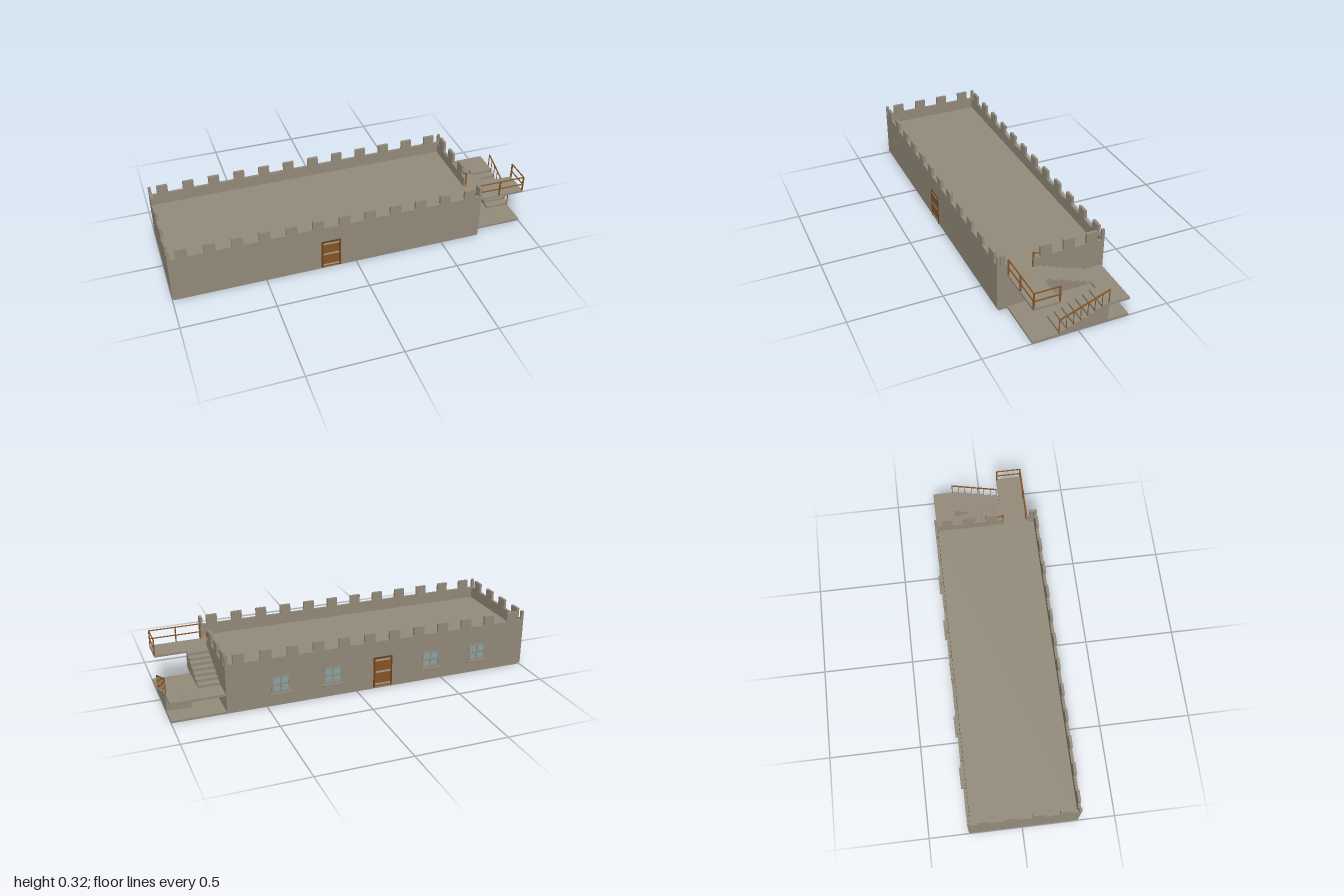
import * as THREE from 'three';

const mat = (name, color, extra = {}) => {
  const m = new THREE.MeshStandardMaterial({ color, ...extra });
  m.name = name;
  return m;
};

export function createModel() {
  const stone = mat('stone', 0x958c7c);
  const wood = mat('wood', 0x8a5626);
  const darkWood = mat('dark wood', 0x6f431c);
  const iron = mat('pale iron', 0xa3a294);
  const glass = mat('glass', 0x8ba5a3);

  const model = new THREE.Group();
  model.name = 'fortHouse';
  const group = (name) => {
    const g = new THREE.Group();
    g.name = name;
    model.add(g);
    return g;
  };
  // Box given by its extents on each axis
  const box = (parent, name, m, x0, x1, y0, y1, z0, z1) => {
    const mesh = new THREE.Mesh(new THREE.BoxGeometry(x1 - x0, y1 - y0, z1 - z0), m);
    mesh.position.set((x0 + x1) / 2, (y0 + y1) / 2, (z0 + z1) / 2);
    mesh.name = name;
    parent.add(mesh);
    return mesh;
  };
  // Square bar between two points
  const bar = (parent, name, a, b, t = 0.006) => {
    const p = new THREE.Vector3(...a), q = new THREE.Vector3(...b);
    const mesh = new THREE.Mesh(new THREE.BoxGeometry(t, t, p.distanceTo(q)), wood);
    mesh.position.copy(p).add(q).multiplyScalar(0.5);
    mesh.lookAt(q);
    mesh.name = name;
    parent.add(mesh);
  };

  const X0 = -1, X1 = 0.715, ZF = 0.298, ZB = -0.286, T = 0.015;
  const FLOOR = 0.012, ROOF = 0.212, WALL = 0.275, TOP = 0.325;

  // Base slabs under the house and the stair yard
  const base = group('base');
  box(base, 'houseBase', stone, -0.992, X1, 0, FLOOR, -0.278, 0.29);
  box(base, 'yardBase', stone, X1, 1, 0, FLOOR, -0.278, 0.243);

  // Walls and sunken flat roof
  const walls = group('walls');
  box(walls, 'frontWall', stone, X0, X1, FLOOR, WALL, ZF - T, ZF);
  box(walls, 'backWall', stone, X0, X1, FLOOR, WALL, ZB, ZB + T);
  box(walls, 'rightWall', stone, X0, X0 + T, FLOOR, WALL, ZB + T, ZF - T);
  box(walls, 'leftWall', stone, X1 - T, X1, FLOOR, ROOF, ZB + T, ZF - T);
  box(walls, 'leftParapet', stone, X1 - T, X1, ROOF, 0.265, ZB + T, 0.105);
  box(walls, 'leftParapetEnd', stone, X1 - T, X1, ROOF, 0.265, 0.245, ZF - T);
  box(walls, 'roof', stone, X0 + T, X1 - T, ROOF - 0.012, ROOF, ZB + T, ZF - T);

  // Battlements
  const merlons = group('battlements');
  for (const z of [ZF - T, ZB]) {
    for (let i = 0; i < 12; i++) {
      const x = -0.925 + i * 0.1425;
      box(merlons, 'merlon', stone, x - 0.03, x + 0.03, WALL, TOP, z, z + T);
    }
    box(merlons, 'cornerMerlon', stone, X0, X0 + T, WALL, TOP, z, z + T);
    box(merlons, 'cornerMerlon', stone, X1 - T, X1, WALL, TOP, z, z + T);
  }
  for (const z of [0.219, 0.077, -0.065, -0.206])
    box(merlons, 'rightMerlon', stone, X0, X0 + T, WALL, TOP, z - 0.031, z + 0.031);
  for (const z of [0.038, -0.089, -0.215])
    box(merlons, 'leftMerlon', stone, X1 - T, X1, 0.265, TOP, z - 0.031, z + 0.031);
  box(merlons, 'leftMerlon', stone, X1 - T, X1, 0.265, TOP, 0.255, 0.28);

  // Doors with iron bands; dir is the outward z direction
  const door = (name, cx, zWall, dir) => {
    const g = group(name);
    g.position.set(cx, 0, zWall);
    if (dir < 0) g.rotation.y = Math.PI;
    box(g, 'doorPanel', wood, -0.044, 0.044, 0.014, 0.178, -0.002, 0.001);
    for (const s of [-1, 1])
      box(g, 'doorJamb', darkWood, s * 0.049 - 0.005, s * 0.049 + 0.005, 0.012, 0.186, -0.002, 0.003);
    box(g, 'doorLintel', darkWood, -0.054, 0.054, 0.178, 0.186, -0.002, 0.0029);
    for (const y of [0.028, 0.1, 0.168])
      box(g, 'doorBand', iron, -0.044, 0.044, y - 0.005, y + 0.005, -0.002, 0.002);
  };
  door('frontDoor', -0.145, ZF, 1);
  door('backDoor', -0.145, ZB, -1);

  // Four-pane windows with sills along the back
  for (const cx of [-0.713, -0.428, 0.141, 0.426]) {
    const g = group('window');
    g.position.set(cx, 0, ZB);
    box(g, 'glass', glass, -0.043, 0.043, 0.08, 0.17, -0.001, 0.002);
    for (const x of [-0.046, 0, 0.046])
      box(g, 'windowUpright', stone, x - 0.004, x + 0.004, 0.078, 0.174, -0.003, 0.002);
    for (const y of [0.082, 0.124, 0.17])
      box(g, 'windowCrossbar', stone, -0.05, 0.05, y - 0.004, y + 0.004, -0.0031, 0.002);
    box(g, 'windowSill', stone, -0.058, 0.058, 0.068, 0.078, -0.015, 0.002);
  }

  // Two-flight outside staircase
  const stairs = group('stairs');
  const RUN = 0.0377, RISE = 0.0143, MID = 0.112;
  box(stairs, 'lowerLanding', stone, X1, 1, 0.1, MID, -0.278, -0.163);
  box(stairs, 'upperLanding', stone, X1, 1, 0.2, ROOF, 0.1, 0.243);
  for (let i = 0; i < 7; i++) {
    const zl = 0.101 - i * RUN, zu = -0.163 + i * RUN;
    box(stairs, 'lowerStep', stone, 0.87, 1, FLOOR, FLOOR + (i + 1) * RISE, zl - RUN, zl);
    box(stairs, 'upperStep', stone, X1, 0.83, MID, MID + (i + 1) * RISE, zu, zu + RUN);
  }

  // Sloping handrail on the lower flight
  const rail = group('stairRailing');
  const RX = 0.997;
  bar(rail, 'handrail', [RX, 0.094, 0.102], [RX, 0.194, -0.165]);
  for (let i = 0; i < 8; i++) {
    const z = 0.101 - i * RUN, t = i === 0 || i === 7 ? 0.002 : 0.0015;
    box(rail, 'baluster', wood, RX - t, RX + t, FLOOR + i * RISE, 0.093 + i * RISE, z - t, z + t);
  }

  // Railing round the upper landing
  const balcony = group('landingRailing');
  for (const [x, z] of [[0.72, 0.24], [0.855, 0.24], [RX, 0.24], [RX, 0.105], [0.712, 0.105]])
    box(balcony, 'post', wood, x - 0.003, x + 0.003, ROOF, 0.3, z - 0.004, z + 0.004);
  for (const y of [0.252, 0.298]) {
    bar(balcony, 'frontRail', [X1, y, 0.24], [1, y, 0.24], 0.005);
    bar(balcony, 'sideRail', [RX, y, 0.243], [RX, y, 0.102], 0.005);
  }
  bar(balcony, 'wallRail', [0.71, 0.295, 0.105], [0.71, 0.281, 0.066], 0.005);

  return model;
}
